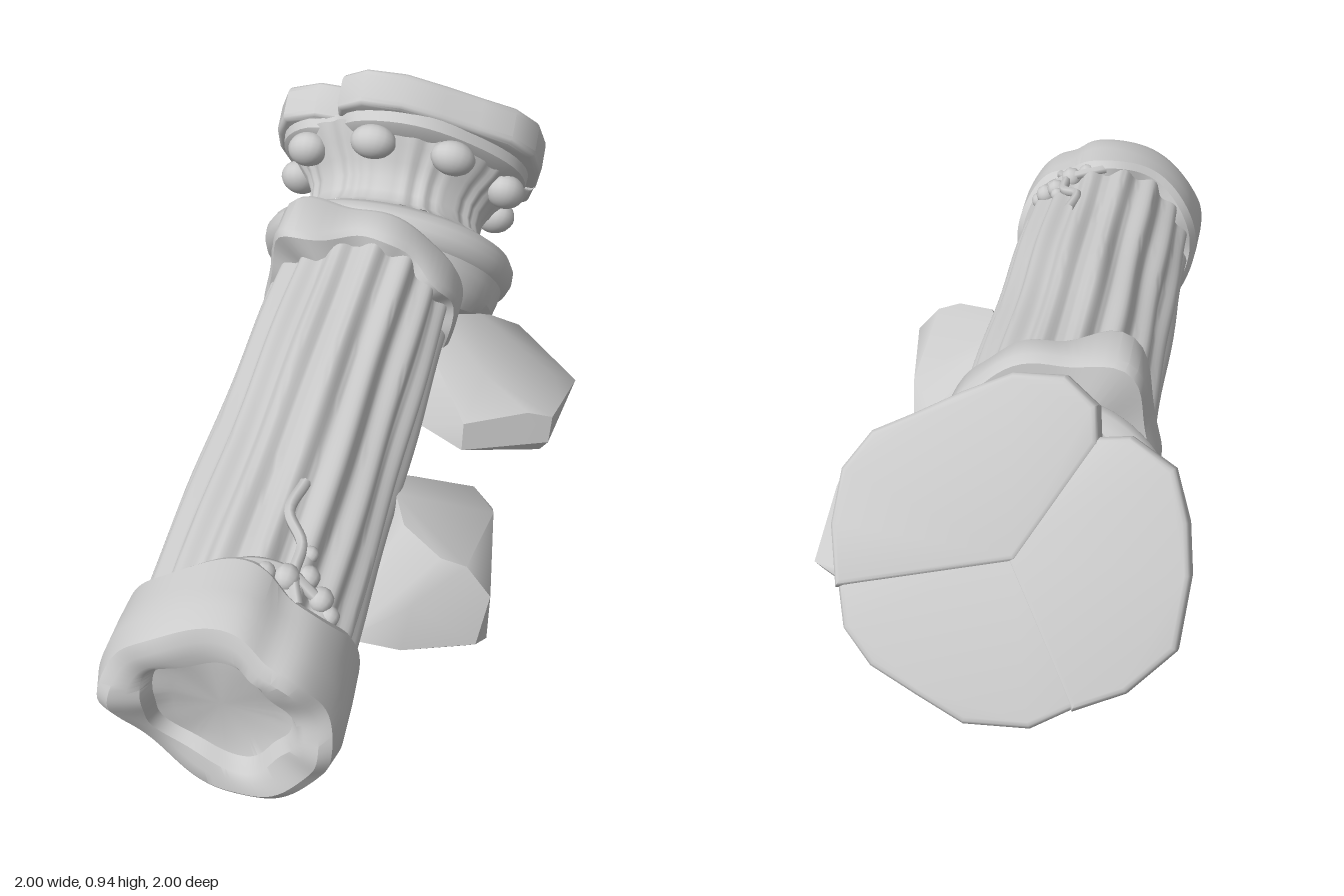
import * as THREE from 'three';
import { toCreasedNormals } from 'three/addons/utils/BufferGeometryUtils.js';
import { ConvexGeometry } from 'three/addons/geometries/ConvexGeometry.js';

const stone = new THREE.MeshStandardMaterial({ color: 0xcccccc });
stone.name = 'grey stone';

function add(parent, name, geometry, crease = 0.6) {
  const mesh = new THREE.Mesh(crease ? toCreasedNormals(geometry, crease) : geometry, stone);
  mesh.name = name;
  parent.add(mesh);
  return mesh;
}

// Group whose y runs along an axis, x points to the model's front left and z upward
function axisGroup(name, origin, axis) {
  const g = new THREE.Group();
  g.name = name;
  const y = new THREE.Vector3(...axis).normalize();
  const x = new THREE.Vector3(1, 0, 1).normalize();
  x.addScaledVector(y, -x.dot(y)).normalize();
  const z = new THREE.Vector3().crossVectors(x, y);
  g.quaternion.setFromRotationMatrix(new THREE.Matrix4().makeBasis(x, y, z));
  g.position.set(...origin);
  return g;
}

// Turned profile of [radius, height]; rule(angle, y, r) returns [new radius, new height]
function turned(profile, segments, rule) {
  const geo = new THREE.LatheGeometry(profile.map(p => new THREE.Vector2(...p)), segments);
  const pos = geo.attributes.position;
  for (let i = 0; i < pos.count; i++) {
    const x = pos.getX(i), y = pos.getY(i), z = pos.getZ(i);
    const a = Math.atan2(x, z);
    const [r, h] = rule(a, y, Math.hypot(x, z));
    pos.setXYZ(i, r * Math.sin(a), h, r * Math.cos(a));
  }
  return geo;
}

// Bump of width w centred on an angle
const bump = (a, centre, w) => {
  const d = Math.atan2(Math.sin(a - centre), Math.cos(a - centre));
  return Math.exp(-(d * d) / (w * w));
};

function createColumn() {
  const g = axisGroup('column', [-0.8, 0.28, 0.8], [0.703, 0.118, -0.703]);

  // Fluted shaft, slightly uneven along its length
  const profile = [];
  for (let i = 0; i <= 24; i++) profile.push([0.257 - 0.005 * i / 24, 0.1 + 1.36 * i / 24]);
  add(g, 'flutedShaft', turned(profile, 192, (a, y, r) => {
    const wave = Math.cos(16 * a + 0.12 * Math.sin(7 * y));
    return [r - 0.012 * (1 + wave) + 0.003 * Math.sin(9 * y + 3 * a), y];
  }), 1.4);

  // Broken foot with a shallow hollow end and ragged rims
  const foot = [[0, 0.05], [0.12, 0.048], [0.16, 0.04], [0.18, 0.01], [0.205, 0.002], [0.24, 0], [0.268, 0.015],
    [0.282, 0.07], [0.28, 0.15], [0.277, 0.215], [0.26, 0.235], [0.22, 0.235]];
  add(g, 'brokenFoot', turned(foot, 96, (a, y, r) => {
    const rag = 0.012 * Math.sin(5 * a + 1) + 0.01 * Math.sin(3 * a + 2);
    const spike = 0.035 * bump(a, -1.4, 0.3) + 0.045 * bump(a, 1.7, 0.35) + 0.06 * bump(a, 2.55, 0.45);
    const end = y < 0.1 ? Math.max(0, Math.min(1, (r - 0.12) / 0.12)) : 0;
    const wobble = r > 0.2 ? 0.015 * Math.sin(4 * a + 0.5) * Math.sin(9 * y + 1) : 0.06 * Math.sin(5 * a);
    return [r * (1 + wobble) - (r > 0.2 ? 0.02 * bump(a, 0.5, 0.2) : 0),
      y + (y > 0.2 ? rag * 1.4 : end * (rag - spike + 0.015))];
  }), 0.6);

  // Top collar with one raised remnant
  const collar = [[0.23, 1.385], [0.262, 1.39], [0.272, 1.41], [0.272, 1.49], [0.258, 1.515], [0.15, 1.52], [0, 1.52]];
  add(g, 'topCollar', turned(collar, 72, (a, y, r) => {
    const lift = bump(a, -0.62, 0.32);
    const rag = 0.012 * Math.sin(5 * a) + 0.01 * Math.sin(9 * a + 2);
    return [r + (r > 0.25 ? 0.06 * lift + 0.006 * Math.sin(6 * a) : 0), y + (y < 1.42 ? rag - 0.04 * lift : 0.015 * lift)];
  }), 0.6);

  // Raised crack strands and crumbs lying on the shaft
  const onShaft = (a, t, r = 0.252) => new THREE.Vector3(r * Math.sin(a), t, r * Math.cos(a));
  const strands = [
    [[0.62, 0.2], [0.5, 0.27], [0.48, 0.36], [0.28, 0.43], [0.33, 0.53]],
    [[-0.1, 0.23], [0.1, 0.26], [0.45, 0.27], [0.75, 0.25]],
  ];
  for (const s of strands) {
    const curve = new THREE.CatmullRomCurve3(s.map(p => onShaft(...p)));
    add(g, 'crackStrand', new THREE.TubeGeometry(curve, 24, 0.014, 6), 0);
  }
  const crumbs = [[0.45, 0.26, 0.032], [0.65, 0.29, 0.028], [0.85, 0.26, 0.03], [1.0, 0.24, 0.025], [0.25, 0.25, 0.026], [0.6, 0.35, 0.02]];
  for (const [a, t, size] of crumbs) {
    add(g, 'crumb', new THREE.SphereGeometry(size, 10, 8), 0).position.copy(onShaft(a, t, 0.245));
  }
  return g;
}

function createCapital() {
  // Origin is the middle of the top face
  const g = axisGroup('capital', [0.67, 0.635, -0.67], [0.56, 0.61, -0.56]);

  // Tall drum and swelling ring, heavier on the underside
  const drum = [[0, -0.585], [0.25, -0.585], [0.295, -0.572], [0.325, -0.535], [0.336, -0.49], [0.34, -0.465], [0.355, -0.455],
    [0.366, -0.43], [0.366, -0.405], [0.352, -0.38], [0.325, -0.365], [0.28, -0.345], [0.22, -0.33]];
  add(g, 'drumAndRing', turned(drum, 72, (a, y, r) => [r * (1 + 0.012 * Math.sin(3 * a + 8 * y)) + (r > 0.29 ? 0.025 * bump(a, Math.PI, 0.9) : 0),
    y + (y < -0.55 ? 0.012 * Math.sin(5 * a) : 0)]), 0.6);

  // Ribbed, flaring bell
  const bell = [[0.29, -0.35], [0.262, -0.33], [0.252, -0.3], [0.255, -0.26], [0.275, -0.22], [0.31, -0.18], [0.345, -0.13]];
  add(g, 'ribbedBell', turned(bell, 144, (a, y, r) => [r + 0.007 * Math.cos(28 * a) * Math.sin(4 * a) ** 2, y]), 1.2);

  // Egg knobs under the slab
  for (const degrees of [-8, 34, 80, 122, 170, 215, 262, 308]) {
    const a = degrees * Math.PI / 180;
    const egg = add(g, 'eggKnob', new THREE.SphereGeometry(0.06, 16, 12), 0);
    egg.position.set(0.32 * Math.sin(a), -0.185, 0.32 * Math.cos(a));
    egg.rotation.y = a;
    egg.scale.set(1.1, 0.8, 0.95);
  }

  // Slab split into three pieces: [degrees, radius] round each outline
  const pieces = [
    { top: 0, rim: [[-13, 0.4], [5, 0.41], [22, 0.425], [36, 0.415], [50, 0.38], [68, 0.375], [86, 0.4], [102, 0.41], [114, 0.38], [121, 0.32]] },
    { top: -0.004, rim: [[123, 0.32], [132, 0.37], [148, 0.405], [165, 0.395], [182, 0.395], [205, 0.415], [225, 0.39], [242, 0.365]] },
    { top: -0.008, rim: [[244, 0.36], [260, 0.38], [282, 0.385], [300, 0.375], [318, 0.4], [332, 0.41], [345, 0.395]] },
  ];
  for (const { top, rim } of pieces) {
    const pts = rim.map(([d, r]) => {
      const a = d * Math.PI / 180;
      return new THREE.Vector2((r - 0.018) * Math.cos(a), -(r - 0.018) * Math.sin(a));
    });
    pts.push(new THREE.Vector2());
    const geo = new THREE.ExtrudeGeometry(new THREE.Shape(pts), {
      depth: 0.07, bevelThickness: 0.02, bevelSize: 0.016, bevelSegments: 3,
    });
    geo.rotateX(-Math.PI / 2);
    add(g, 'slabPiece', geo, 0.7).position.y = top - 0.09;
  }

  // Narrower moulding under the slab
  const moulding = [[0.2, -0.165], [0.325, -0.16], [0.36, -0.14], [0.365, -0.1], [0.33, -0.06], [0, -0.03]];
  add(g, 'slabMoulding', turned(moulding, 64, (a, y, r) => [r * (1 + 0.02 * Math.sin(5 * a + 1) - 0.1 * bump(a, -0.56, 0.15)), y]), 0.6);
  return g;
}

export function createModel() {
  const model = new THREE.Group();
  model.name = 'fallenColumn';
  model.add(createColumn(), createCapital());

  // Loose boulders
  const boulders = {
    frontBoulder: [[-0.31, 0.06, 0.55], [-0.3, 0.09, 0.48], [-0.2, 0.04, 0.64], [-0.17, 0.18, 0.64], [-0.12, 0.33, 0.52],
      [-0.08, 0.34, 0.42], [-0.09, 0.3, 0.64], [-0.04, 0.28, 0.68], [0, 0.2, 0.73], [-0.04, 0.06, 0.735], [-0.05, 0.03, 0.7], [0.02, 0.02, 0.7],
      [0.17, 0.22, 0.5], [0.22, 0.16, 0.43], [0.2, 0.2, 0.37], [0.2, 0.05, 0.44], [0.17, 0.06, 0.36],
      [0.04, 0.27, 0.32], [0.06, 0.18, 0.28], [0.05, 0.07, 0.28], [-0.12, 0.06, 0.33], [-0.03, 0.33, 0.35]],
    rearBoulder: [[0.22, 0.2, 0.08], [0.27, 0.18, 0.21], [0.28, 0.26, 0.2], [0.3, 0.35, 0.03], [0.42, 0.36, -0.12], [0.4, 0.33, 0.12],
      [0.45, 0.27, 0.26], [0.52, 0.24, 0.28], [0.5, 0.17, 0.295], [0.5, 0.12, 0.26], [0.6, 0.22, 0.22], [0.6, 0.12, 0.2], [0.67, 0.2, 0.09],
      [0.76, 0.14, 0.08], [0.74, 0.11, 0.07], [0.75, 0.15, -0.02], [0.72, 0.21, -0.15], [0.71, 0.12, -0.16],
      [0.55, 0.33, -0.15], [0.5, 0.13, -0.21], [0.3, 0.15, -0.08]],
  };
  for (const [name, points] of Object.entries(boulders)) {
    add(model, name, new ConvexGeometry(points.map(p => new THREE.Vector3(...p))), 0.7);
  }
  return model;
}
